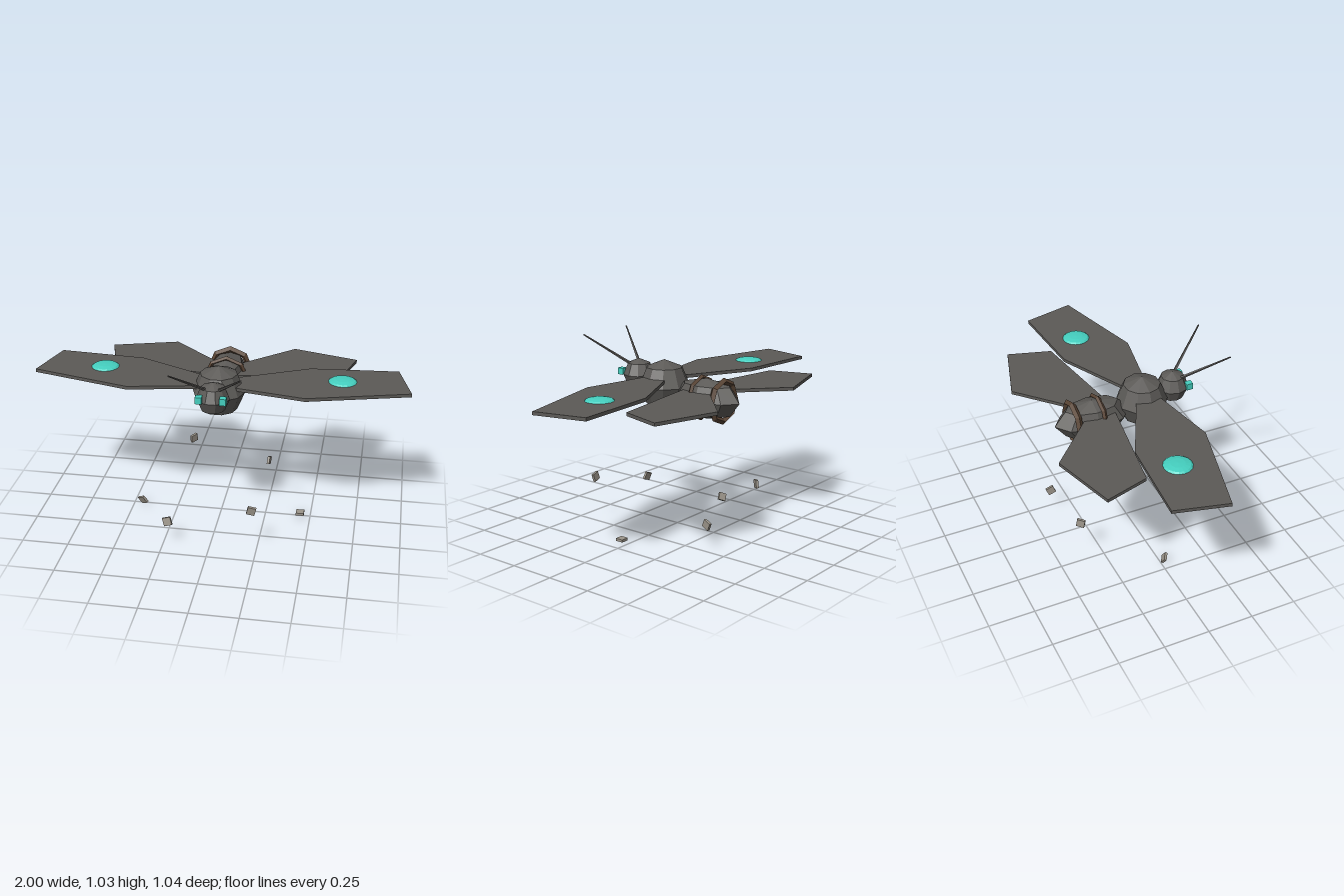
import * as THREE from 'three';

const mat = (name, color, flat = true) => {
  const m = new THREE.MeshStandardMaterial({ color, flatShading: flat });
  m.name = name;
  return m;
};

export function createModel() {
  const group = new THREE.Group();
  const stone = mat('dark stone', 0x5c5a57);
  const bronze = mat('bronze brown', 0x5a4535);
  const teal = mat('glowing teal', 0x45d0c0);
  const shard = mat('pale stone', 0x9c958a);

  const add = (name, geo, material, x, y, z) => {
    const m = new THREE.Mesh(geo, material);
    m.name = name;
    m.position.set(x, y, z);
    group.add(m);
    return m;
  };

  // Body: three coarse spheres in a row
  add('head', new THREE.SphereGeometry(0.0875, 10, 4), stone, 0, 0.817, 0.27);
  add('thorax', new THREE.SphereGeometry(0.14, 10, 4), stone, 0, 0.78, 0.09);
  add('abdomen', new THREE.SphereGeometry(0.11, 8, 4), stone, 0, 0.745, -0.198).scale.z = 1.91;

  // Bands round the abdomen
  add('frontBand', new THREE.TorusGeometry(0.112, 0.013, 4, 8), bronze, 0, 0.745, -0.162);
  add('rearBand', new THREE.TorusGeometry(0.108, 0.018, 4, 8), bronze, 0, 0.745, -0.305);

  // Flat wing: outline in x and z, extruded upwards from y
  const wing = (name, outline, side, y, thickness) => {
    const shape = new THREE.Shape(outline.map(([x, z]) => new THREE.Vector2(side * x, -z)));
    const geo = new THREE.ExtrudeGeometry(shape, { depth: thickness, bevelEnabled: false });
    geo.rotateX(-Math.PI / 2);
    add(name, geo, stone, 0, y, 0);
  };
  const foreOutline = [[0.05, 0.035], [0.46, -0.165], [0.93, -0.2], [1, 0.08], [0.465, 0.225], [0.05, 0.145]];
  const hindOutline = [[0.05, -0.25], [0.34, -0.52], [0.695, -0.415], [0.625, -0.18], [0.05, -0.09]];

  const up = new THREE.Vector3(0, 1, 0);
  for (const side of [1, -1]) {
    const label = side > 0 ? 'left' : 'right';
    wing(label + 'Forewing', foreOutline, side, 0.81, 0.018);
    wing(label + 'Hindwing', hindOutline, side, 0.772, 0.018);

    // Domed wing spot and cube eye
    add(label + 'WingSpot', new THREE.SphereGeometry(0.075, 16, 6), teal, side * 0.64, 0.828, -0.02).scale.y = 0.2;
    add(label + 'Eye', new THREE.BoxGeometry(0.034, 0.036, 0.036), teal, side * 0.0625, 0.834, 0.337);

    // Tapered antenna from head to tip
    const base = new THREE.Vector3(side * 0.035, 0.875, 0.3);
    const tip = new THREE.Vector3(side * 0.178, 1.032, 0.515);
    const dir = tip.clone().sub(base);
    const antenna = add(label + 'Antenna', new THREE.CylinderGeometry(0.004, 0.009, dir.length(), 5), stone, 0, 0, 0);
    antenna.position.copy(base).lerp(tip, 0.5);
    antenna.quaternion.setFromUnitVectors(up, dir.normalize());
  }

  // Six tumbling shards in a hexagon below: position, then rotation
  const shards = [
    [0.445, 0.035, 0.02, 1.57, 0, 0],
    [0.222, 0.25, 0.405, 0.13, 0.1, -0.25],
    [-0.225, 0.143, 0.405, -0.2, -0.1, 0.3],
    [-0.448, 0.035, 0.02, 0.45, -0.35, 0.6],
    [-0.225, 0.25, -0.37, 0.1, 0.9, 0.08],
    [0.222, 0.14, -0.37, 0.25, 1.4, -0.65],
  ];
  shards.forEach(([x, y, z, rx, ry, rz], i) => {
    add('shard' + (i + 1), new THREE.BoxGeometry(0.044, 0.044, 0.014), shard, x, y, z).rotation.set(rx, ry, rz);
  });

  return group;
}
